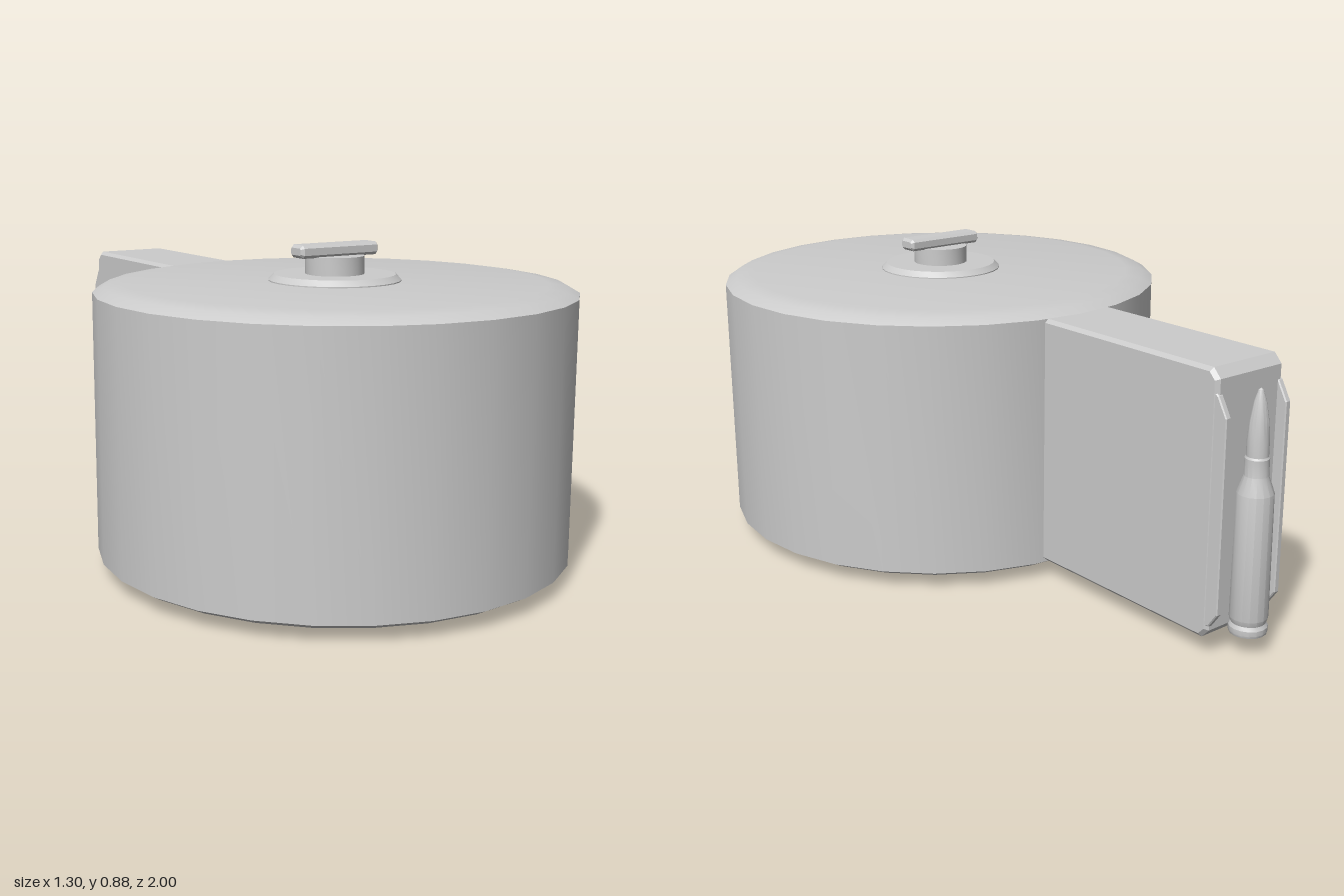
import * as THREE from 'three';
import { toCreasedNormals } from 'three/addons/utils/BufferGeometryUtils.js';

const DRUM_Z = 0.345;

export function createModel() {
  const model = new THREE.Group();
  const material = new THREE.MeshStandardMaterial({ color: 0xcccccc });

  const add = (name, geometry, z = 0) => {
    const mesh = new THREE.Mesh(geometry, material);
    mesh.name = name;
    mesh.position.z = z;
    model.add(mesh);
    return mesh;
  };

  // Turned part from [radius, height] pairs, bottom to top
  const turned = (name, profile, segments, z, crease = 0.45) => {
    const points = profile.map(([r, y]) => new THREE.Vector2(r, y));
    return add(name, toCreasedNormals(new THREE.LatheGeometry(points, segments), crease), z);
  };

  // Plate with a [z, y] outline, centred on x, with chamfered side edges
  const plate = (name, outline, width, bevel, x = 0) => {
    const shape = new THREE.Shape(outline.map(([z, y]) => new THREE.Vector2(-z, y)));
    const geometry = new THREE.ExtrudeGeometry(shape, {
      depth: width - 2 * bevel,
      bevelThickness: bevel, bevelSize: bevel, bevelOffset: -bevel, bevelSegments: 1,
    });
    geometry.translate(0, 0, bevel - width / 2);
    geometry.rotateY(Math.PI / 2);
    const mesh = add(name, geometry);
    mesh.position.x = x;
    return mesh;
  };

  // Drum with softly rounded rims
  turned('drum', [
    [0, 0.02], [0.57, 0.02], [0.62, 0.03], [0.65, 0.047],
    [0.65, 0.755], [0.62, 0.772], [0.57, 0.78], [0, 0.78],
  ], 28, DRUM_Z);

  // Hubs above and below, and the winding key
  turned('topHub', [[0.18, 0.775], [0.18, 0.783], [0.165, 0.798], [0, 0.798]], 28, DRUM_Z);
  turned('bottomHub', [[0, 0], [0.165, 0], [0.18, 0.015], [0.18, 0.025]], 28, DRUM_Z);
  turned('keyStem', [[0.08, 0.79], [0.08, 0.847], [0, 0.847]], 24, DRUM_Z);
  const k = 0.008, k0 = DRUM_Z - 0.031, k1 = DRUM_Z + 0.031;
  plate('keyHandle', [
    [k1, 0.845 + k], [k1, 0.88 - k], [k1 - k, 0.88], [k0 + k, 0.88],
    [k0, 0.88 - k], [k0, 0.845 + k], [k0 + k, 0.845], [k1 - k, 0.845],
  ], 0.25, k);

  // Feed tower reaching back from the drum
  plate('feedTower', [
    [-0.15, 0.052], [-0.15, 0.755], [-0.895, 0.755], [-0.918, 0.73],
    [-0.918, 0.077], [-0.895, 0.052],
  ], 0.236, 0.01);

  // Feed lips either side of the cartridge
  for (const side of [-1, 1]) {
    plate(side > 0 ? 'leftFeedLip' : 'rightFeedLip', [
      [-0.905, 0.09], [-0.905, 0.7], [-0.92, 0.69], [-0.948, 0.64],
      [-0.948, 0.13], [-0.92, 0.09],
    ], 0.018, 0.003, side * 0.107);
  }

  // Cartridge standing in the mouth of the tower
  turned('cartridge', [
    [0, 0.056], [0.048, 0.056], [0.05, 0.062], [0.05, 0.075], [0.045, 0.085],
    [0.05, 0.1], [0.047, 0.43], [0.031, 0.475], [0.031, 0.52], [0.028, 0.525],
    [0.028, 0.565], [0.024, 0.615], [0.015, 0.665], [0.006, 0.692], [0, 0.697],
  ], 16, -0.95);

  return model;
}
